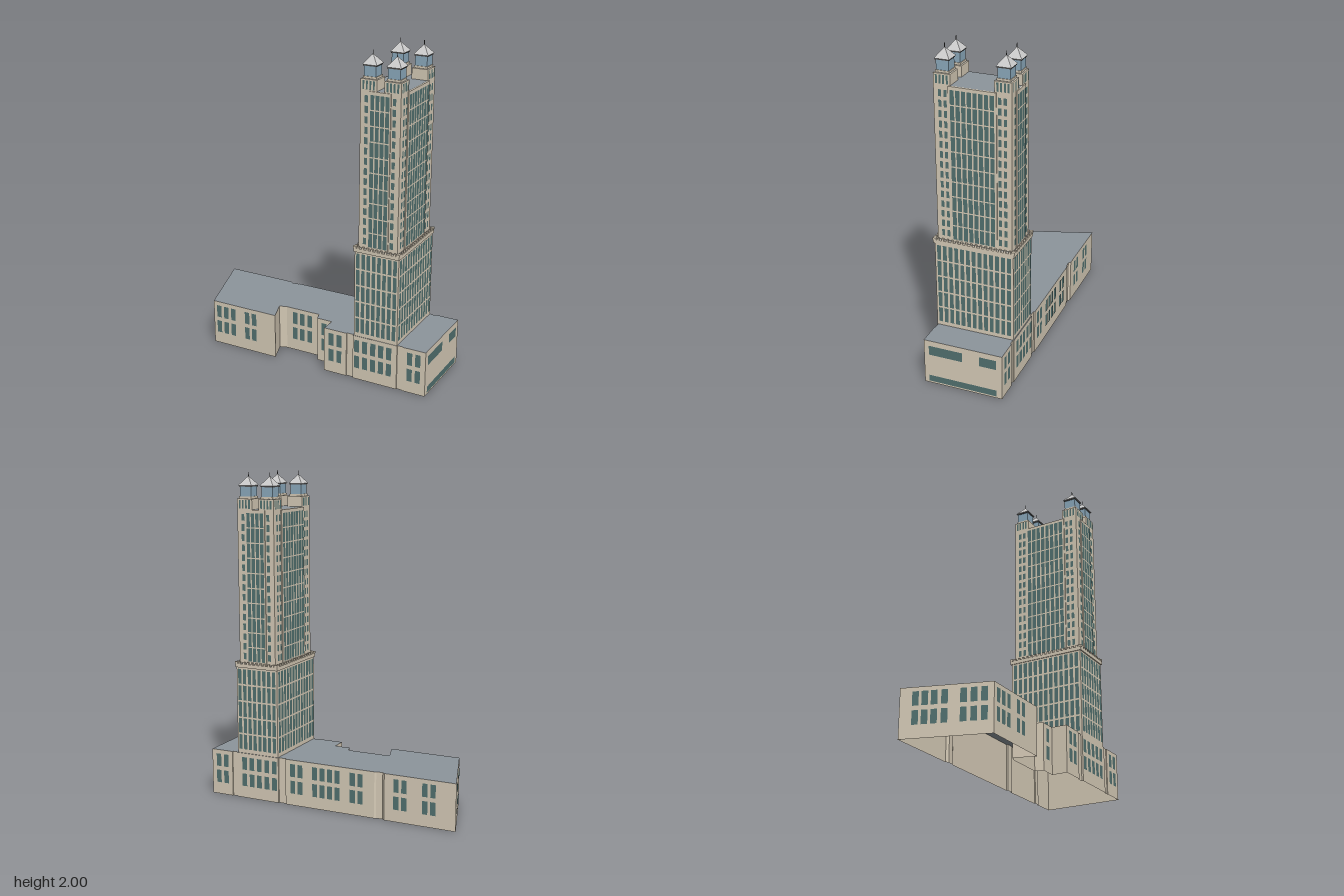
import * as THREE from 'three';
import { mergeGeometries } from 'three/addons/utils/BufferGeometryUtils.js';

const mat = (color, side = THREE.FrontSide) => {
  const m = new THREE.MeshStandardMaterial({ side });
  m.color.set(color);
  return m;
};
const stone = mat(0xd6cbb7), wallStone = mat(0xd6cbb7, THREE.DoubleSide);
const glass = mat(0x527170), roofGrey = mat(0x8c949b, THREE.DoubleSide);
const blue = mat(0x8caabd), capGrey = mat(0xc4c4c2), dark = mat(0x555555);

function add(parent, name, geo, material) {
  const mesh = new THREE.Mesh(geo, material);
  mesh.name = name;
  parent.add(mesh);
  return mesh;
}

// Box geometry given by its limits
function boxGeo(x0, x1, y0, y1, z0, z1) {
  return new THREE.BoxGeometry(x1 - x0, y1 - y0, z1 - z0)
    .translate((x0 + x1) / 2, (y0 + y1) / 2, (z0 + z1) / 2);
}

// Flat horizontal roof over a rectangle
function deck(parent, name, x0, x1, y, z0, z1) {
  add(parent, name, new THREE.PlaneGeometry(x1 - x0, z1 - z0).rotateX(-Math.PI / 2)
    .translate((x0 + x1) / 2, y, (z0 + z1) / 2), roofGrey);
}

// Panes [u, y, w, h] laid on a wall through (x, z) that is turned by ry
function panes(parent, name, x, z, ry, list) {
  const geos = list.map(([u, y, w, h]) => new THREE.PlaneGeometry(w, h).translate(u, y, 0.002));
  add(parent, name, mergeGeometries(geos).rotateY(ry).translate(x, 0, z), glass);
}

// Regular grid of panes centred on u
function grid(u, y0, y1, width, cols, rows, fillX, fillY) {
  const out = [], pw = width / cols, ph = (y1 - y0) / rows;
  for (let i = 0; i < cols; i++)
    for (let j = 0; j < rows; j++)
      out.push([u + (i + 0.5) * pw - width / 2, y0 + (j + 0.5) * ph, pw * fillX, ph * fillY]);
  return out;
}

// Two storeys of windows at the given positions along a wall
const storeys = (us, w = 0.033) => us.flatMap(u => [[u, 0.22, w, 0.08], [u, 0.115, w, 0.08]]);

const CX = 0.485, PI = Math.PI;

function podium() {
  const g = new THREE.Group();
  g.name = 'podium';
  const H = 0.285;
  const outline = [
    [-0.65, 0.24], [-0.2, 0.24], [-0.245, 0.11], [-0.2, 0.095], [0.03, 0.095], [0.045, 0.145],
    [0.145, 0.145], [0.145, 0.24], [0.295, 0.24], [0.295, 0.233], [0.34, 0.233], [0.34, 0.243],
    [0.628, 0.243], [0.628, 0.236], [0.665, 0.236], [0.665, 0.241], [0.81, 0.241],
    [0.81, -0.245], [0.665, -0.245], [0.665, -0.238], [0.628, -0.238], [0.628, -0.245],
    [0.34, -0.245], [0.34, -0.236], [0.29, -0.236], [0.29, -0.245], [-0.3, -0.242],
    [-0.31, -0.236], [-0.35, -0.233], [-0.365, -0.245], [-0.81, -0.245]
  ];
  // Walls, one panel per outline side
  const walls = outline.map(([ax, az], i) => {
    const [bx, bz] = outline[(i + 1) % outline.length];
    return new THREE.PlaneGeometry(Math.hypot(bx - ax, bz - az), H)
      .rotateY(Math.atan2(az - bz, bx - ax)).translate((ax + bx) / 2, H / 2, (az + bz) / 2);
  });
  add(g, 'podiumWalls', mergeGeometries(walls), wallStone);
  const shape = new THREE.Shape(outline.map(([x, z]) => new THREE.Vector2(x, -z)));
  add(g, 'podiumRoof', new THREE.ShapeGeometry(shape).rotateX(-PI / 2).translate(0, H, 0), roofGrey);

  // Front windows
  const tower5 = [0.367, 0.42, 0.473, 0.525, 0.577];
  panes(g, 'frontLeftWingWindows', 0, 0.24, 0, storeys([-0.61, -0.558, -0.505, -0.403, -0.352]));
  panes(g, 'courtWindows', 0, 0.095, 0, storeys([-0.14, -0.09, -0.035]));
  panes(g, 'stepWindows', 0, 0.145, 0, storeys([0.092]));
  panes(g, 'frontWindows', 0, 0.24, 0, storeys([0.193, 0.246]));
  panes(g, 'frontTowerBaseWindows', 0, 0.243, 0, storeys(tower5));
  panes(g, 'frontEndWindows', 0, 0.241, 0, storeys([0.71, 0.762]));
  // Back windows
  const back = [0.762, 0.71, ...tower5, 0.24, 0.19, 0.09, 0.04, -0.01, -0.06, -0.16, -0.21,
    -0.44, -0.49, -0.62, -0.67];
  panes(g, 'backWindows', 0, -0.245, PI, storeys(back.map(x => -x)));
  // Slanted end wall
  const len = Math.hypot(0.16, 0.485);
  panes(g, 'slantedWallWindows', -0.81, -0.245, Math.atan2(-0.485, 0.16),
    storeys([0.17, 0.27, 0.37, 0.48, 0.68, 0.79, 0.9].map(t => t * len), 0.036));
  // Long glazed strips on the end wall
  panes(g, 'endStrips', 0.81, 0, PI / 2,
    [[-0.105, 0.222, 0.21, 0.06], [0.157, 0.222, 0.105, 0.06], [0, 0.032, 0.425, 0.04]]);
  return g;
}

function lowerTower() {
  const g = new THREE.Group();
  g.name = 'lowerTower';
  const hx = 0.14, hz = 0.24;
  add(g, 'lowerShaft', boxGeo(CX - hx, CX + hx, 0.285, 0.825, -hz, hz), stone);
  for (const s of [0, 1]) {
    const k = s ? -1 : 1;
    panes(g, 'lowerWindows', CX, k * hz, s * PI, grid(0, 0.305, 0.82, 0.27, 8, 5, 0.66, 0.9));
    panes(g, 'lowerSideWindows', CX + k * hx, 0, k * PI / 2, grid(0, 0.305, 0.82, 0.465, 13, 5, 0.66, 0.9));
  }
  // Cornice with battlements
  const ox = 0.145, oz = 0.248, t = 0.012;
  add(g, 'cornice', boxGeo(CX - ox, CX + ox, 0.825, 0.847, -oz, oz), stone);
  const teeth = [];
  const tooth = (x, z, w) => teeth.push(boxGeo(x - w / 2, x + w / 2, 0.847, 0.86, z - w / 2, z + w / 2));
  for (const s of [-1, 1]) {
    for (let i = 1; i < 10; i++) tooth(CX - ox + i * ox / 5, s * (oz - t / 2), t);
    for (let i = 1; i < 17; i++) tooth(CX + s * (ox - t / 2), -oz + i * oz * 2 / 17, t);
    for (const q of [-1, 1]) tooth(CX + q * (ox - 0.008), s * (oz - 0.008), 0.02);
  }
  add(g, 'battlements', mergeGeometries(teeth), stone);
  deck(g, 'terrace', CX - ox + t, CX + ox - t, 0.848, -oz + t, oz - t);
  return g;
}

// Corner pier crown with its turret, sx and sz pick the corner
function crown(sx, sz) {
  const g = new THREE.Group();
  g.name = 'cornerCrown';
  const x = CX + sx * 0.073, z = sz * 0.177, h = 0.05;
  add(g, 'crownBlock', boxGeo(x - h, x + h, 1.7, 1.845, z - h, z + h), stone);
  deck(g, 'crownRoof', x - h + 0.006, x + h - 0.006, 1.846, z - h + 0.006, z + h - 0.006);
  const slots = grid(0, 1.787, 1.838, 0.085, 4, 1, 0.55, 1);
  panes(g, 'crownSlots', x, z + sz * h, sz > 0 ? 0 : PI, slots);
  panes(g, 'crownSlots', x + sx * h, z, sx * PI / 2, slots);
  add(g, 'turretFoot', boxGeo(x - 0.041, x + 0.041, 1.845, 1.858, z - 0.041, z + 0.041), stone);
  add(g, 'turretBody', boxGeo(x - 0.037, x + 0.037, 1.858, 1.92, z - 0.037, z + 0.037), blue);
  add(g, 'turretEaves', boxGeo(x - 0.041, x + 0.041, 1.915, 1.923, z - 0.041, z + 0.041), dark);
  const roof = new THREE.ConeGeometry(0.045 * Math.SQRT2, 0.055, 4).rotateY(PI / 4).toNonIndexed();
  roof.computeVertexNormals();
  add(g, 'turretRoof', roof.translate(x, 1.9505, z), capGrey);
  add(g, 'finial', new THREE.CylinderGeometry(0.0015, 0.003, 0.03, 6).translate(x, 1.985, z), dark);
  return g;
}

function upperTower() {
  const g = new THREE.Group();
  g.name = 'upperTower';
  const hx = 0.123, hz = 0.227, bx = 0.065, bz = 0.14, out = 0.006;
  add(g, 'upperShaft', boxGeo(CX - hx, CX + hx, 0.847, 1.77, -hz, hz), stone);
  // Glazed bays standing slightly proud of the corner piers
  add(g, 'frontBackBay', boxGeo(CX - bx, CX + bx, 0.847, 1.78, -hz - out, hz + out), stone);
  add(g, 'sideBay', boxGeo(CX - hx - out, CX + hx + out, 0.847, 1.78, -bz, bz), stone);
  deck(g, 'mainRoof', CX - hx, CX + hx, 1.782, -bz, bz);
  deck(g, 'bayRoof', CX - bx, CX + bx, 1.7815, -hz, hz);
  for (const s of [0, 1]) {
    const k = s ? -1 : 1;
    panes(g, 'bayWindows', CX, k * (hz + out), s * PI, grid(0, 0.862, 1.765, 0.122, 4, 10, 0.76, 0.92));
    panes(g, 'sideBayWindows', CX + k * (hx + out), 0, k * PI / 2, grid(0, 0.862, 1.765, 0.265, 8, 10, 0.74, 0.92));
    // Small windows up the corner piers
    const column = (u, w) => grid(u, 0.865, 1.765, w, 1, 15, 1, 0.66);
    panes(g, 'pierWindows', CX, k * hz, s * PI, [-0.085, 0.085].flatMap(u => column(u, 0.02)));
    panes(g, 'sidePierWindows', CX + k * hx, 0, k * PI / 2,
      [-0.19, -0.158, 0.158, 0.19].flatMap(u => column(u, 0.018)));
  }
  for (const sx of [-1, 1]) for (const sz of [-1, 1]) g.add(crown(sx, sz));
  return g;
}

export function createModel() {
  const model = new THREE.Group();
  model.name = 'towerBuilding';
  model.add(podium(), lowerTower(), upperTower());
  return model;
}
